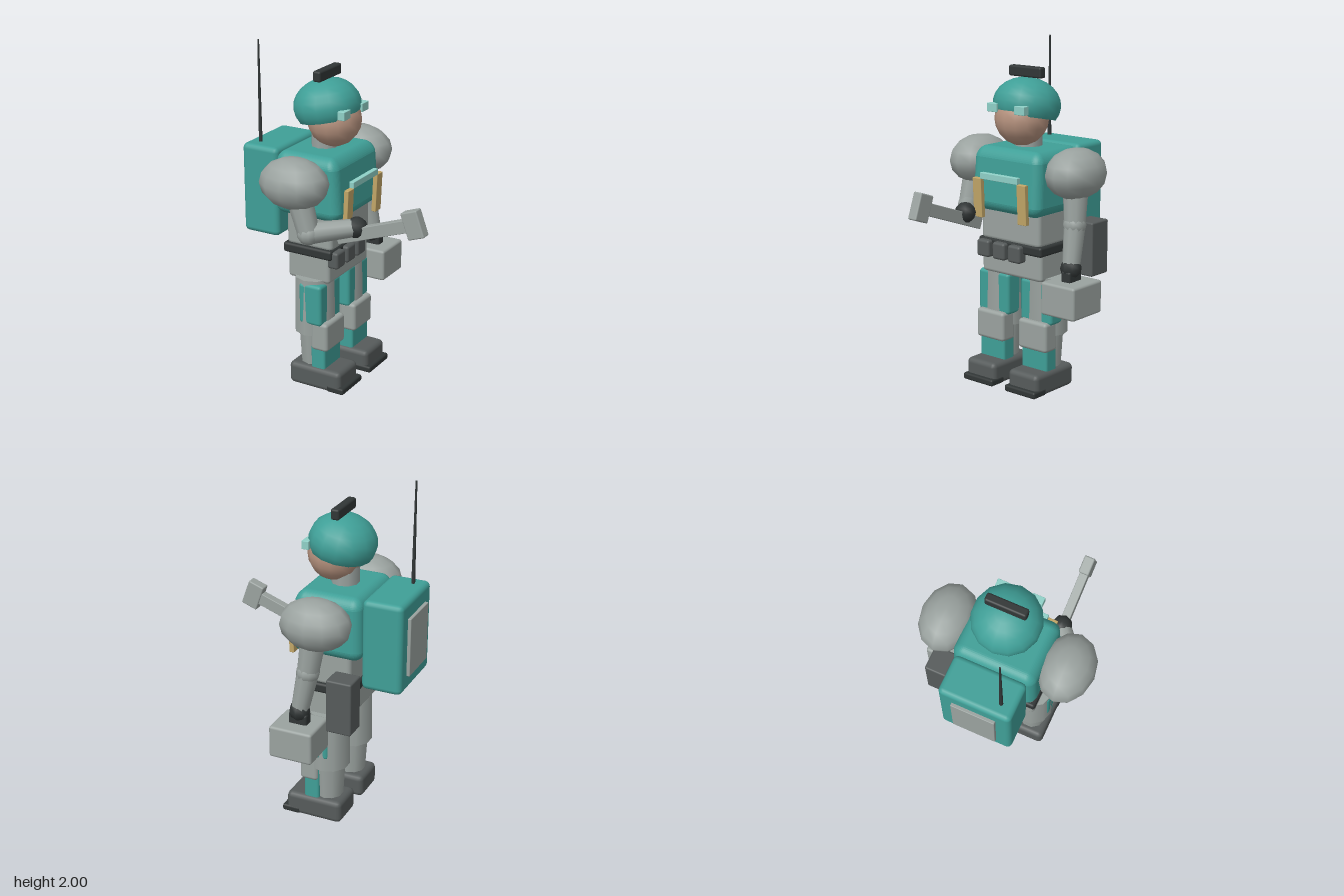
import * as THREE from 'three';
import { RoundedBoxGeometry } from 'three/addons/geometries/RoundedBoxGeometry.js';

const mat = (name, color, extra = {}) => {
  const m = new THREE.MeshStandardMaterial({ color, ...extra });
  m.name = name;
  return m;
};

export function createModel() {
  const teal = mat('teal armour', 0x3f9f97);
  const tealShell = mat('teal helmet', 0x3f9f97, { side: THREE.DoubleSide });
  const grey = mat('light grey', 0x9aa29f);
  const darkGrey = mat('dark grey', 0x565b5b);
  const black = mat('near black', 0x313636);
  const aqua = mat('pale aqua', 0x8fd0c7);
  const tan = mat('tan webbing', 0xc2a667);
  const skin = mat('skin', 0xb7937f);

  const root = new THREE.Group();
  root.name = 'fieldEngineer';

  const add = (name, geo, material, x, y, z, parent = root) => {
    const mesh = new THREE.Mesh(geo, material);
    mesh.name = name;
    mesh.position.set(x, y, z);
    parent.add(mesh);
    return mesh;
  };
  // Rounded box given by its min and max on each axis
  const box = (name, material, [x0, x1], [y0, y1], [z0, z1], r = 0.015, parent = root) =>
    add(name, new RoundedBoxGeometry(x1 - x0, y1 - y0, z1 - z0, 2, r), material,
      (x0 + x1) / 2, (y0 + y1) / 2, (z0 + z1) / 2, parent);
  const ball = (name, material, x, y, z, rx, ry = rx, rz = rx, parent = root, w = 12, h = 8) => {
    const geo = new THREE.SphereGeometry(1, w, h).scale(rx, ry, rz);
    return add(name, geo, material, x, y, z, parent);
  };
  // Tapered limb between two points
  const limb = (name, material, a, b, ra, rb, parent = root) => {
    const A = new THREE.Vector3(...a), B = new THREE.Vector3(...b);
    const d = B.clone().sub(A), c = A.add(B).multiplyScalar(0.5);
    const mesh = add(name, new THREE.CylinderGeometry(rb, ra, d.length(), 10), material, c.x, c.y, c.z, parent);
    mesh.quaternion.setFromUnitVectors(new THREE.Vector3(0, 1, 0), d.normalize());
    return mesh;
  };
  const group = (name) => {
    const g = new THREE.Group();
    g.name = name;
    root.add(g);
    return g;
  };

  // Head, helmet, lamps and crest
  limb('neck', grey, [-0.16, 1.36, 0], [-0.16, 1.52, 0], 0.08, 0.08);
  ball('head', skin, -0.1, 1.572, 0, 0.155, 0.155, 0.155, root, 14, 10);
  const dome = new THREE.SphereGeometry(1, 14, 8, 0, Math.PI * 2, 0, Math.PI * 0.65).scale(0.193, 0.155, 0.195);
  add('helmet', dome, tealShell, -0.145, 1.645, 0).rotation.z = 0.2;
  for (const s of [-1, 1]) box('helmetLamp', aqua, [0.0, 0.043], [1.613, 1.662], [s * 0.1 - 0.036, s * 0.1 + 0.036], 0.003);
  box('helmetCrest', black, [-0.17, -0.12], [1.8, 1.862], [-0.118, 0.118], 0.012);

  // Chest: rounded box, narrowed toward its top and base
  const chestGeo = new RoundedBoxGeometry(0.44, 0.37, 0.53, 6, 0.06);
  const p = chestGeo.attributes.position;
  for (let i = 0; i < p.count; i++) {
    const y = p.getY(i), up = Math.max(0, y / 0.185), down = Math.max(0, -y / 0.185);
    const x = p.getX(i);
    p.setXYZ(i, x > 0 ? x * (1 - 0.22 * up - 0.1 * down) : x * (1 - 0.05 * up), y,
      p.getZ(i) * (1 - 0.12 * up - 0.08 * down));
  }
  chestGeo.computeVertexNormals();
  add('chest', chestGeo, teal, -0.14, 1.225, 0);
  for (const s of [-1, 1])
    box('chestStrap', tan, [0.07, 0.098], [1.008, 1.237], [s * 0.163 - 0.031, s * 0.163 + 0.031], 0.003).rotation.z = -0.05;
  box('chestBar', aqua, [0.075, 0.104], [1.235, 1.272], [-0.138, 0.138], 0.003);

  // Waist, belt and pouches
  box('waist', grey, [-0.29, 0.005], [0.86, 1.07], [-0.217, 0.217], 0.025);
  box('belt', black, [-0.305, 0.012], [0.813, 0.872], [-0.235, 0.235], 0.015);
  box('pelvis', grey, [-0.28, -0.008], [0.662, 0.83], [-0.222, 0.222], 0.02);
  for (const z of [0.172, 0.055, -0.06]) box('beltPouch', darkGrey, [-0.03, 0.046], [0.762, 0.862], [z - 0.046, z + 0.046], 0.015);
  box('hipHolster', darkGrey, [-0.38, -0.23], [0.685, 1.0], [-0.412, -0.28], 0.01);

  // Backpack
  box('backpack', teal, [-0.586, -0.35], [0.88, 1.41], [-0.213, 0.213], 0.03);
  box('backpackPanel', grey, [-0.605, -0.575], [0.972, 1.315], [-0.13, 0.128], 0.004);
  limb('antenna', black, [-0.51, 1.4, 0.13], [-0.51, 2, 0.13], 0.011, 0.005);

  // Legs
  for (const s of [-1, 1]) {
    const leg = group('leg'), z = s * 0.16;
    limb('thigh', grey, [-0.14, 0.34, z], [-0.14, 0.68, z], 0.12, 0.115, leg);
    limb('shin', grey, [-0.14, 0.11, z], [-0.14, 0.36, z], 0.08, 0.095, leg);
    box('thighPlate', teal, [-0.18, -0.034], [0.41, 0.66], [z - 0.115, z + 0.115], 0.02, leg);
    box('shinPlate', teal, [-0.115, -0.022], [0.12, 0.4], [z - 0.093, z + 0.093], 0.015, leg);
    box('kneePad', grey, [-0.11, 0], [0.252, 0.427], [z - 0.104, z + 0.104], 0.02, leg);
    box('boot', darkGrey, [-0.257, 0.085], [0.004, 0.14], [z - 0.11, z + 0.11], 0.03, leg);
    box('toePlate', black, [0, 0.11], [0.01, 0.05], [z - 0.113, z + 0.113], 0.012, leg);
  }

  // Arms: shoulder pad, upper arm, elbow, forearm, hand
  const arm = (name, z, top, elbow, hand) => {
    const g = group(name);
    ball('shoulderPad', grey, -0.145, 1.292, z, 0.206, 0.145, 0.157, g);
    limb('upperArm', grey, top, elbow, 0.075, 0.062, g);
    ball('elbow', grey, ...elbow, 0.066, 0.066, 0.066, g);
    limb('forearm', grey, elbow, hand, 0.062, 0.05, g);
    ball('hand', black, ...hand, 0.061, 0.061, 0.061, g, 8, 6);
  };
  arm('toolArm', 0.357, [-0.12, 1.25, 0.36], [-0.05, 1.02, 0.365], [0.16, 1.04, 0.2]);
  arm('caseArm', -0.357, [-0.14, 1.25, -0.36], [-0.11, 1.01, -0.378], [-0.065, 0.77, -0.39]);

  // Hammer, built along its handle and tilted up
  const hammer = group('hammer');
  box('handle', grey, [-0.25, 0.24], [-0.036, 0.036], [-0.025, 0.025], 0.004, hammer);
  box('hammerHead', grey, [0.2, 0.302], [-0.078, 0.078], [-0.031, 0.031], 0.008, hammer);
  hammer.position.set(0.28, 1.045, 0.202);
  hammer.rotation.z = 0.345;

  // Carry case with its grip
  box('carryCase', grey, [-0.19, 0.068], [0.51, 0.7], [-0.515, -0.28], 0.015);
  box('caseGrip', black, [-0.12, -0.01], [0.69, 0.76], [-0.425, -0.36], 0.012);

  return root;
}
